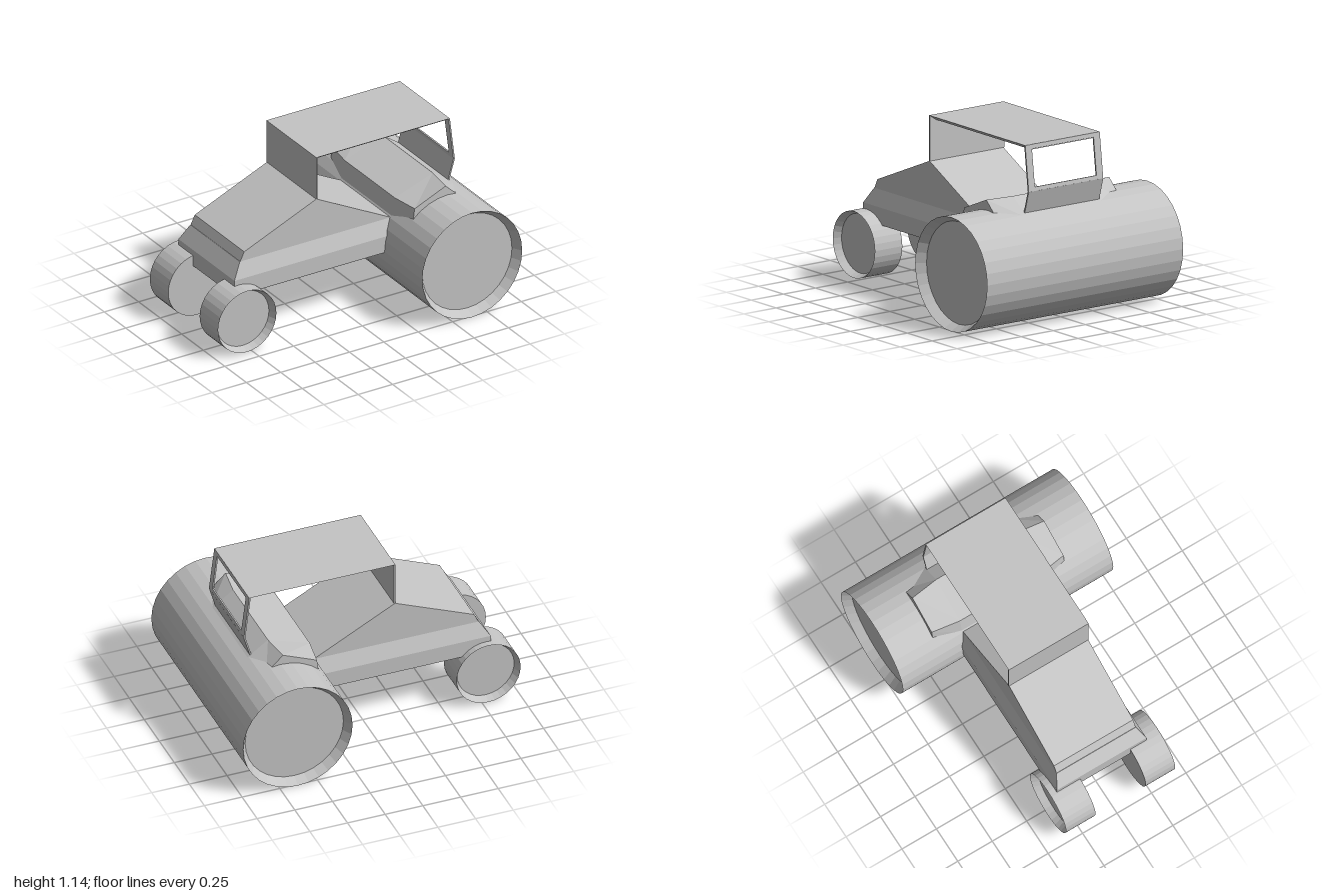
import * as THREE from 'three';

const grey = new THREE.MeshStandardMaterial({ color: 0xc4c4c4, flatShading: true, side: THREE.DoubleSide });
grey.name = 'plain grey';

// Skin matching rings of points, with a flat cap on each end
function loft(rings) {
  const pos = [];
  const tri = (...pts) => pts.forEach((p) => pos.push(...p));
  const n = rings[0].length;
  for (let r = 0; r < rings.length - 1; r++) {
    const a = rings[r], b = rings[r + 1];
    for (let i = 0; i < n; i++) {
      const j = (i + 1) % n;
      tri(a[i], a[j], b[j]);
      tri(a[i], b[j], b[i]);
    }
  }
  const first = rings[0], last = rings[rings.length - 1];
  for (let i = 1; i < n - 1; i++) {
    tri(first[0], first[i + 1], first[i]);
    tri(last[0], last[i], last[i + 1]);
  }
  const geo = new THREE.BufferGeometry();
  geo.setAttribute('position', new THREE.Float32BufferAttribute(pos, 3));
  geo.computeVertexNormals();
  return geo;
}

// Level rectangle, used as a loft ring
const rect = (y, x0, x1, z) => [[x1, y, z], [x1, y, -z], [x0, y, -z], [x0, y, z]];

// Drum with a dished end at +y, and optionally at -y
function drum(r, inner, half, dish, bothEnds) {
  const low = bothEnds
    ? [[0, -half + dish], [inner, -half + dish], [r, -half]]
    : [[0, -half], [r, -half]];
  const points = [...low, [r, half], [inner, half - dish], [0, half - dish]];
  return new THREE.LatheGeometry(points.map((p) => new THREE.Vector2(...p)), 32);
}

// Thin upright panel facing +x, with an optional window
function panel(width, height, window) {
  const w = width / 2;
  const s = new THREE.Shape();
  s.moveTo(-w, 0).lineTo(w, 0).lineTo(w, height).lineTo(-w, height).closePath();
  if (window) {
    const { half, bottom, top } = window;
    const h = new THREE.Path();
    h.moveTo(-half, bottom).lineTo(-half, top).lineTo(half, top).lineTo(half, bottom).closePath();
    s.holes.push(h);
  }
  return new THREE.ExtrudeGeometry(s, { depth: 0.01, bevelEnabled: false })
    .translate(0, 0, -0.01).rotateY(Math.PI / 2);
}

export function createModel() {
  const model = new THREE.Group();
  model.name = 'tractor';
  const add = (name, geo, x = 0, y = 0, z = 0) => {
    const mesh = new THREE.Mesh(geo, grey);
    mesh.name = name;
    mesh.position.set(x, y, z);
    model.add(mesh);
    return mesh;
  };

  // Wide rear roller with both ends dished
  add('rearRoller', drum(0.363, 0.326, 0.763, 0.06, true), 0.635, 0.367, 0).rotation.x = Math.PI / 2;

  // Front wheels, dished on the outside only
  for (const [name, z, side] of [['frontWheelLeft', 0.315, 1], ['frontWheelRight', -0.263, -1]]) {
    add(name, drum(0.212, 0.189, 0.107, 0.05, false), -0.788, 0.222, z).rotation.x = side * Math.PI / 2;
  }

  // Lower body with a sloping shoulder
  add('lowerBody', loft([
    rect(0.36, -0.82, 0.36, 0.325),
    rect(0.47, -0.82, 0.36, 0.325),
    rect(0.57, -0.757, 0.36, 0.287),
  ]));

  // Bonnet rising to the windscreen and falling away behind it
  const bonnet = new THREE.Shape();
  bonnet.moveTo(-0.757, 0.565).lineTo(0.35, 0.565).lineTo(-0.2, 0.85).lineTo(-0.725, 0.63).closePath();
  add('bonnet', new THREE.ExtrudeGeometry(bonnet, { depth: 0.574, bevelEnabled: false }), 0, 0, -0.287);

  // Mudguard slab over the roller, tapering at both ends
  const middle = [[0.34, 0.56], [0.8, 0.685], [0.645, 0.795], [0.367, 0.7]];
  const end = [[0.375, 0.56], [0.73, 0.69], [0.62, 0.795], [0.395, 0.7]];
  const ring = (pts, z) => pts.map(([x, y]) => [x, y, z]);
  add('mudguard', loft([ring(end, -0.478), ring(middle, -0.29), ring(middle, 0.29), ring(end, 0.478)]));

  // Cab: roof with bevelled underside, solid windscreen, folded rear frame
  add('roof', loft([rect(1.106, -0.195, 0.765, 0.24), rect(1.14, -0.202, 0.768, 0.29)]));
  add('windscreen', new THREE.BoxGeometry(0.009, 0.29, 0.58), -0.1975, 0.995, 0);
  add('rearWindowFrame', panel(0.58, 0.292, { half: 0.24, bottom: 0.026, top: 0.266 }), 0.805, 0.85, 0)
    .rotation.z = Math.atan2(0.036, 0.29);
  add('rearLowerPanel', panel(0.58, 0.152), 0.7625, 0.705, 0)
    .rotation.z = -Math.atan2(0.0425, 0.145);

  return model;
}
